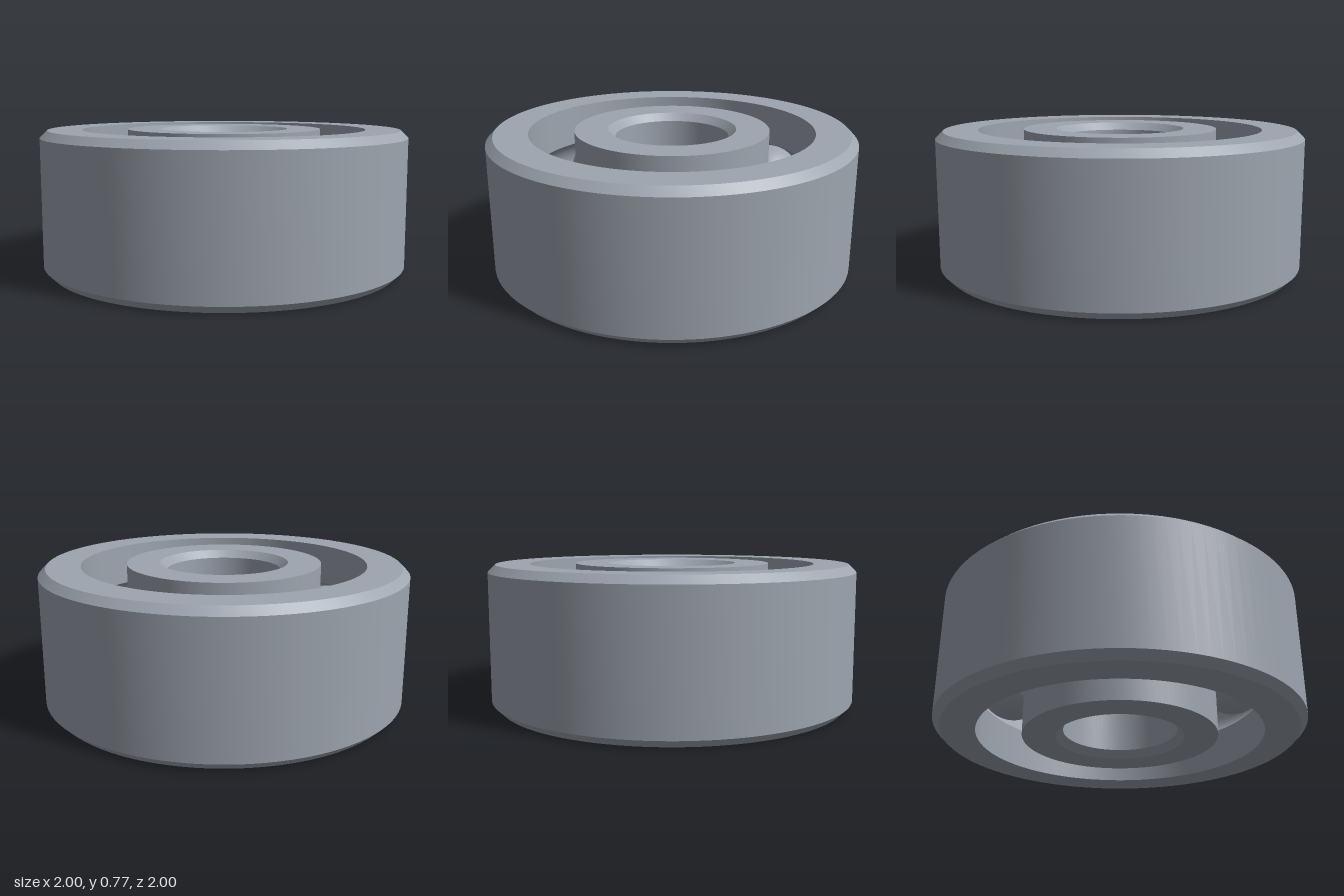
import * as THREE from 'three';
import { toCreasedNormals } from 'three/addons/utils/BufferGeometryUtils.js';

const HEIGHT = 0.77, MID = HEIGHT / 2, CHAMFER = 0.04;
const ORBIT = 0.65, BALL = 0.192, GROOVE = 0.2, BALLS = 7;

// Points of the ball groove where it cuts a wall at the given radius, from
// the lower edge up (dir +1) or from the upper edge down (dir -1).
function groove(wall, dir) {
  const half = Math.acos(Math.abs(wall - ORBIT) / GROOVE);
  const side = Math.sign(wall - ORBIT);
  const points = [];
  for (let i = 0; i <= 16; i++) {
    const a = dir * half * (i / 8 - 1);
    points.push([ORBIT + side * GROOVE * Math.cos(a), MID + GROOVE * Math.sin(a)]);
  }
  return points;
}

// Ring turned from a closed profile, listed counter-clockwise
function ring(name, profile, material) {
  const points = [...profile, profile[0]].map(([x, y]) => new THREE.Vector2(x, y));
  const mesh = new THREE.Mesh(toCreasedNormals(new THREE.LatheGeometry(points, 96), 0.5), material);
  mesh.name = name;
  return mesh;
}

export function createModel() {
  const steel = new THREE.MeshStandardMaterial({ color: 0x9ea5af });
  steel.name = 'steel';
  const model = new THREE.Group();
  model.name = 'ballBearing';

  // Outer race: chamfered outside, grooved inside
  model.add(ring('outerRace', [
    [0.775, 0], [1 - CHAMFER, 0], [1, CHAMFER],
    [1, HEIGHT - CHAMFER], [1 - CHAMFER, HEIGHT], [0.775, HEIGHT],
    ...groove(0.775, -1),
  ], steel));

  // Inner race: grooved outside, chamfered bore
  model.add(ring('innerRace', [
    [0.35, 0], [0.53, 0],
    ...groove(0.53, 1),
    [0.53, HEIGHT], [0.35, HEIGHT], [0.31, HEIGHT - CHAMFER], [0.31, CHAMFER],
  ], steel));

  // Balls spaced evenly between the races
  const balls = new THREE.Group();
  balls.name = 'balls';
  const ballGeometry = new THREE.SphereGeometry(BALL, 48, 32);
  for (let i = 0; i < BALLS; i++) {
    const a = (i / BALLS) * Math.PI * 2 - 0.015;
    const ball = new THREE.Mesh(ballGeometry, steel);
    ball.name = `ball${i + 1}`;
    ball.position.set(ORBIT * Math.sin(a), MID, -ORBIT * Math.cos(a));
    balls.add(ball);
  }
  model.add(balls);
  return model;
}
